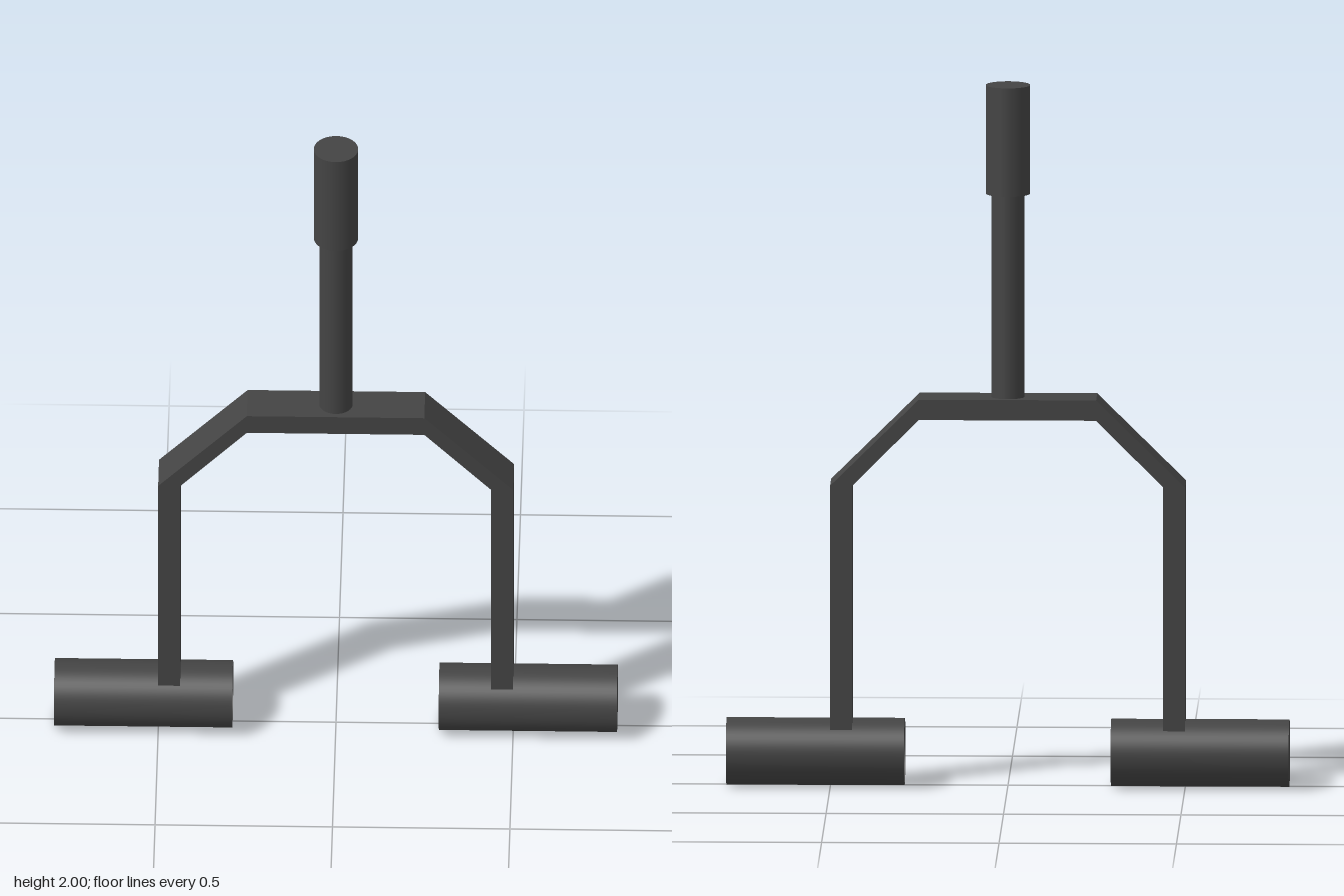
import * as THREE from 'three';

export function createModel() {
  const group = new THREE.Group();
  group.name = 'forkedHandle';
  const dark = new THREE.MeshStandardMaterial({ color: 0x444444 });
  const darkOpen = new THREE.MeshStandardMaterial({ color: 0x444444, side: THREE.DoubleSide });

  const add = (name, geometry, material = dark) => {
    const mesh = new THREE.Mesh(geometry, material);
    mesh.name = name;
    group.add(mesh);
    return mesh;
  };

  // Upright rod with a thicker grip on top
  const upright = (name, radius, y0, y1) => {
    add(name, new THREE.CylinderGeometry(radius, radius, y1 - y0, 48)).position.y = (y0 + y1) / 2;
  };
  upright('stem', 0.047, 1.1, 1.7);
  upright('grip', 0.0625, 1.69, 2);

  // Flat-bar fork: one mirrored outline extruded in depth
  const depth = 0.125;
  const outer = [[0.5, 0.165], [0.5, 0.863], [0.25, 1.11]];
  const inner = [[0.25, 1.052], [0.438, 0.863], [0.438, 0.165]];
  const mirror = (points) => points.map(([x, y]) => [-x, y]).reverse();
  const outline = [...outer, ...mirror(outer), ...mirror(inner), ...inner];
  const shape = new THREE.Shape(outline.map(([x, y]) => new THREE.Vector2(x, y)));
  const fork = new THREE.ExtrudeGeometry(shape, { depth, bevelEnabled: false });
  fork.translate(0, 0, -depth / 2);
  add('fork', fork);

  // Foot rollers: closed on the outer end, open on the inner end
  const radius = 0.095, length = 0.502, centre = 0.542;
  for (const [side, name] of [[1, 'left'], [-1, 'right']]) {
    const tube = new THREE.CylinderGeometry(radius, radius, length, 48, 1, true);
    tube.rotateZ(Math.PI / 2);
    add(name + 'Roller', tube, darkOpen).position.set(side * centre, radius, 0);

    const cap = new THREE.CircleGeometry(radius, 48);
    cap.rotateY(side * Math.PI / 2);
    add(name + 'RollerCap', cap, darkOpen).position.set(side * (centre + length / 2), radius, 0);
  }
  return group;
}
